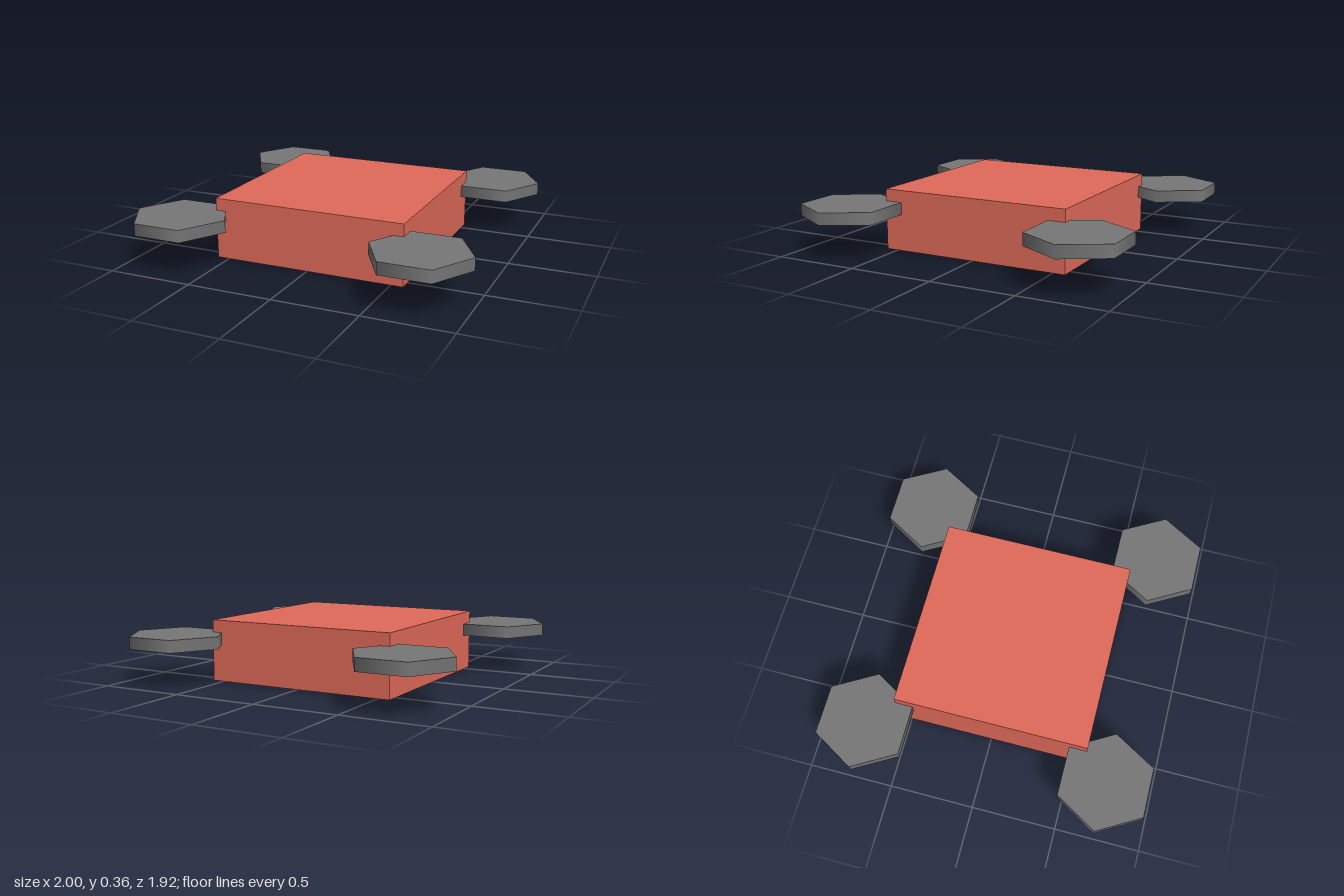
import * as THREE from 'three';

export function createModel() {
  const model = new THREE.Group();
  model.name = 'quadcopter';
  const red = new THREE.MeshStandardMaterial({ color: 0xe06a5a });
  const grey = new THREE.MeshStandardMaterial({ color: 0x777777 });
  const u = 1 / 7; // design unit

  // Square body block
  const body = new THREE.Mesh(new THREE.BoxGeometry(8 * u, 2.5 * u, 8 * u), red);
  body.name = 'body';
  body.position.y = 1.25 * u;
  model.add(body);

  // Hexagonal rotor discs at the four corners, points facing left and right
  const rotorGeometry = new THREE.CylinderGeometry(2 * u, 2 * u, 0.5 * u, 6, 1, false, Math.PI / 2);
  for (const [zSide, zName] of [[1, 'front'], [-1, 'back']]) {
    for (const [xSide, xName] of [[1, 'Left'], [-1, 'Right']]) {
      const rotor = new THREE.Mesh(rotorGeometry, grey);
      rotor.name = `${zName}${xName}Rotor`;
      rotor.position.set(xSide * 5 * u, 1.75 * u, zSide * 5 * u);
      model.add(rotor);
    }
  }
  return model;
}
